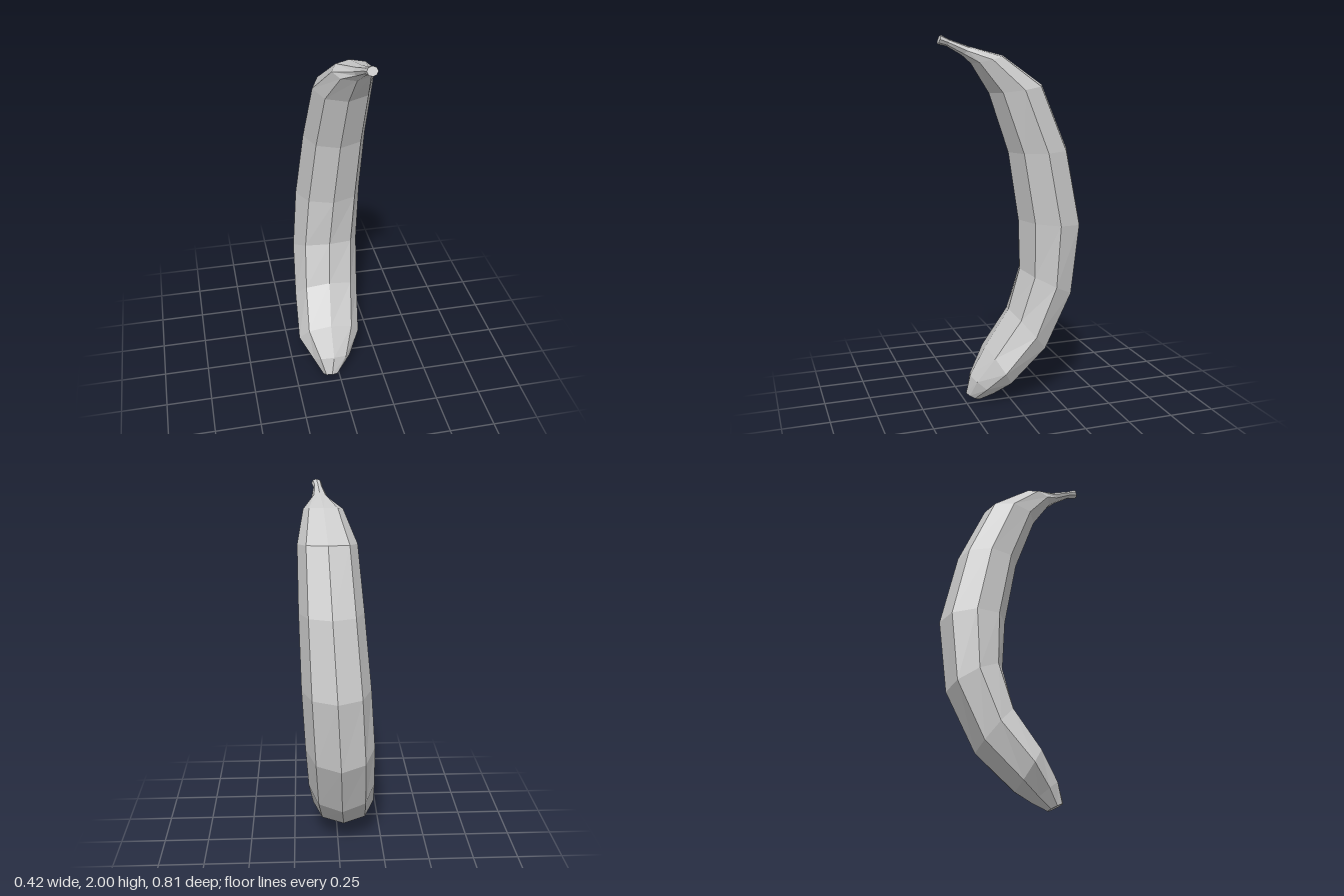
import * as THREE from 'three';

const SIDES = 8;

// Each ring: [inner z, inner y, outer z, outer y, centre x, half width], bottom to top
const RINGS = [
  [0.24, 0.04, 0.16, 0.0, -0.05, 0.045],
  [0.22, 0.15, 0.085, 0.04, -0.035, 0.105],
  [0.13, 0.31, 0.0, 0.09, -0.035, 0.175],
  [0.0, 0.52, -0.2, 0.28, -0.018, 0.183],
  [-0.06, 0.75, -0.355, 0.6, -0.005, 0.185],
  [-0.045, 1.03, -0.4, 1.0, 0.015, 0.181],
  [0.02, 1.4, -0.31, 1.41, 0.037, 0.168],
  [0.13, 1.71, -0.16, 1.75, 0.053, 0.154],
  [0.23, 1.86, 0.06, 1.9, 0.07, 0.104],
  [0.28, 1.9, 0.245, 1.945, 0.085, 0.042],
  [0.36, 1.945, 0.345, 1.978, 0.092, 0.024],
  [0.408, 1.955, 0.392, 2.0, 0.099, 0.027],
];

// Skins consecutive octagonal rings, optionally capping either end
function loft(name, rings, capBottom, capTop, material) {
  const positions = [];
  const index = [];
  for (const [iz, iy, oz, oy, cx, hw] of rings) {
    for (let k = 0; k < SIDES; k++) {
      const a = (k / SIDES) * Math.PI * 2;
      const c = Math.cos(a) / 2;
      positions.push(
        cx + hw * Math.sin(a),
        (iy + oy) / 2 + (iy - oy) * c,
        (iz + oz) / 2 + (iz - oz) * c
      );
    }
  }
  for (let j = 0; j < rings.length - 1; j++) {
    for (let k = 0; k < SIDES; k++) {
      const a = j * SIDES + k;
      const b = j * SIDES + ((k + 1) % SIDES);
      index.push(a, b, b + SIDES, a, b + SIDES, a + SIDES);
    }
  }
  const top = (rings.length - 1) * SIDES;
  for (let k = 1; k < SIDES - 1; k++) {
    if (capBottom) index.push(0, k + 1, k);
    if (capTop) index.push(top, top + k, top + k + 1);
  }
  const geometry = new THREE.BufferGeometry();
  geometry.setAttribute('position', new THREE.Float32BufferAttribute(positions, 3));
  geometry.setIndex(index);
  geometry.computeVertexNormals();
  const mesh = new THREE.Mesh(geometry, material);
  mesh.name = name;
  return mesh;
}

export function createModel() {
  const group = new THREE.Group();
  group.name = 'banana';
  const material = new THREE.MeshStandardMaterial({ color: 0xcccccc, flatShading: true });

  // Blossom end, curved fruit and stalk share their boundary rings
  group.add(loft('blossomEnd', RINGS.slice(0, 3), true, false, material));
  group.add(loft('fruitBody', RINGS.slice(2, 9), false, false, material));
  group.add(loft('stalk', RINGS.slice(8), false, true, material));
  return group;
}
